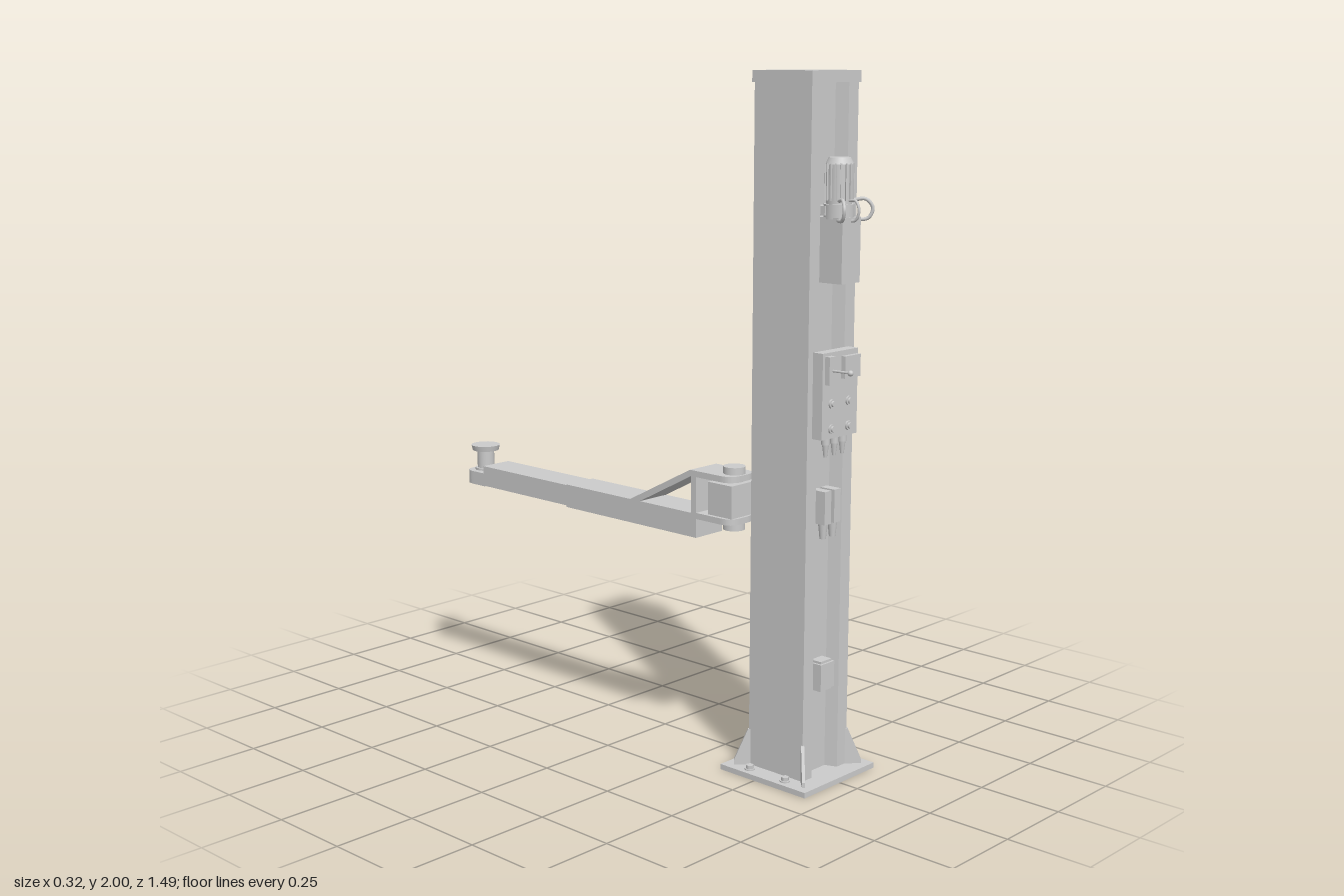
import * as THREE from 'three';

const mat = new THREE.MeshStandardMaterial({ color: 0xcccccc });

export function createModel() {
  const root = new THREE.Group();
  root.name = 'singlePostLift';

  const add = (name, geo, x = 0, y = 0, z = 0) => {
    const m = new THREE.Mesh(geo, mat);
    m.name = name;
    m.position.set(x, y, z);
    root.add(m);
    return m;
  };
  // Box given by its minimum and maximum corners
  const box = (name, x0, x1, y0, y1, z0, z1) =>
    add(name, new THREE.BoxGeometry(x1 - x0, y1 - y0, z1 - z0), (x0 + x1) / 2, (y0 + y1) / 2, (z0 + z1) / 2);
  // Upright cylinder from y0 to y1
  const cyl = (name, rTop, rBottom, x, y0, y1, z, sides = 28) =>
    add(name, new THREE.CylinderGeometry(rTop, rBottom, y1 - y0, sides), x, (y0 + y1) / 2, z);
  const shapeOf = (pts) => new THREE.Shape(pts.map(([a, b]) => new THREE.Vector2(a, b)));
  const extrude = (shape, depth) =>
    new THREE.ExtrudeGeometry(shape, { depth, bevelEnabled: false, curveSegments: 14 });
  // Side profile in (z, y), extruded across x around cx
  const sideProfile = (name, pts, width, cx) =>
    add(name, extrude(shapeOf(pts), width).translate(0, 0, -width / 2).rotateY(-Math.PI / 2), cx);
  // Plan outline in (x, z), extruded between two heights
  const plan = (name, shape, y0, y1) =>
    add(name, extrude(shape, y1 - y0).rotateX(Math.PI / 2), 0, y1);
  const tube = (name, pts, r) =>
    add(name, new THREE.TubeGeometry(
      new THREE.CatmullRomCurve3(pts.map((p) => new THREE.Vector3(...p))), 24, r, 8));

  // Base plate, anchor bolts and diagonal gussets
  box('basePlate', -0.158, 0.158, 0, 0.016, 0.372, 0.687);
  for (const sx of [-1, 1]) {
    for (const z of [0.46, 0.592]) {
      cyl('anchorWasher', 0.015, 0.015, sx * 0.13, 0.016, 0.02, z, 16);
      cyl('anchorBolt', 0.012, 0.012, sx * 0.13, 0.02, 0.03, z, 6);
    }
    for (const sz of [-1, 1]) {
      const geo = extrude(shapeOf([[-0.01, 0], [0.046, 0], [0.046, 0.015], [0.006, 0.108], [-0.01, 0.108]]), 0.009);
      geo.translate(0, 0, -0.0045);
      const g = add('baseGusset', geo, sx * 0.098, 0.015, 0.53 + sz * 0.098);
      g.rotation.y = Math.atan2(-sz, sx);
    }
  }

  // Column: folded channel, open at the back with a sunken web in front
  const half = [
    [0.058, 0.43], [0.1, 0.43], [0.1, 0.63], [0.058, 0.63], [0.044, 0.595],
  ];
  const inner = [
    [0.036, 0.587], [0.064, 0.622], [0.092, 0.622], [0.092, 0.438], [0.058, 0.438],
  ];
  const flip = (pts) => pts.map(([x, z]) => [-x, z]).reverse();
  plan('column', shapeOf([...half, ...flip(half), ...flip(inner).slice(0, 5), ...inner]), 0.012, 1.97);
  box('topCap', -0.105, 0.105, 1.968, 2, 0.425, 0.635);

  // Sliding carriage inside the column with its crossbar
  box('carriageBlock', -0.056, 0.056, 1.1, 1.26, 0.45, 0.58);
  box('carriageBack', -0.056, 0.056, 0.72, 1.1, 0.5, 0.58);
  for (const sx of [-1, 1])
    sideProfile('carriageRib', [[0.52, 0.74], [0.41, 0.74], [0.415, 0.86], [0.426, 0.94], [0.452, 1.11], [0.52, 1.11]], 0.012, sx * 0.04);
  box('carriageNeck', -0.055, 0.055, 0.755, 0.85, 0.4, 0.52);
  box('crossbar', -0.163, 0.162, 0.755, 0.85, 0.323, 0.412);

  // Swing arm: pivot lugs, truss plate and telescopic beam
  const armX = -0.104;
  const tongue = (z0, z1, w, dir) => {
    // strip from z0 to z1 with rounded corners at z1
    const r = 0.042, e = z1 - dir * r;
    const s = new THREE.Shape();
    s.moveTo(armX - w, z0);
    s.lineTo(armX - w, e);
    s.quadraticCurveTo(armX - w, z1, armX - w + r, z1);
    s.lineTo(armX + w - r, z1);
    s.quadraticCurveTo(armX + w, z1, armX + w, e);
    s.lineTo(armX + w, z0);
    return s;
  };
  plan('upperPivotPlate', tongue(0.25, 0.408, 0.056, 1), 0.855, 0.873);
  plan('lowerPivotPlate', tongue(0.26, 0.408, 0.056, 1), 0.732, 0.75);
  box('armUpright', armX - 0.056, armX + 0.056, 0.74, 0.86, 0.254, 0.274);
  sideProfile('slopedPlate', [[0.26, 0.873], [0.25, 0.873], [0.005, 0.745], [0.045, 0.745], [0.254, 0.855], [0.26, 0.855]], 0.112, armX);
  box('outerBeam', armX - 0.056, armX + 0.056, 0.676, 0.747, -0.265, 0.274);
  box('innerBeam', armX - 0.053, armX + 0.053, 0.68, 0.744, -0.655, -0.265);
  plan('beamTip', tongue(-0.65, -0.748, 0.053, -1), 0.678, 0.72);
  cyl('pivotPin', 0.026, 0.026, armX, 0.73, 0.875, 0.37);
  cyl('pivotCap', 0.032, 0.032, armX, 0.872, 0.894, 0.37);
  cyl('pivotNut', 0.032, 0.032, armX, 0.71, 0.735, 0.37);

  // Lifting pad on the arm tip
  cyl('padStem', 0.027, 0.027, armX, 0.715, 0.788, -0.703);
  cyl('padCollar', 0.034, 0.034, armX, 0.718, 0.727, -0.703);
  cyl('liftingPad', 0.046, 0.042, armX, 0.784, 0.801, -0.703);

  // Power unit: tank, pump head and finned motor
  box('oilTank', -0.04, 0.04, 1.432, 1.61, 0.59, 0.692);
  cyl('pumpHead', 0.042, 0.042, 0, 1.605, 1.645, 0.648);
  cyl('motorBody', 0.035, 0.035, 0, 1.64, 1.755, 0.648);
  cyl('motorTop', 0.03, 0.039, 0, 1.752, 1.77, 0.648);
  for (let i = 0; i < 16; i++) {
    const a = (i / 16) * Math.PI * 2;
    const fin = box('motorFin', -0.002, 0.002, 1.655, 1.755, -0.004, 0.004);
    fin.position.x = Math.sin(a) * 0.036;
    fin.position.z = 0.648 + Math.cos(a) * 0.036;
    fin.rotation.y = a;
  }
  box('motorBracket', -0.045, 0.045, 1.615, 1.64, 0.59, 0.635);
  for (const s of [-1, 1])
    tube('oilHose', [[s * 0.03, 1.655, 0.672], [s * 0.05, 1.658, 0.7], [s * 0.062, 1.635, 0.715], [s * 0.056, 1.607, 0.705], [s * 0.034, 1.602, 0.67]], 0.005);
  tube('frontHose', [[0, 1.655, 0.68], [0, 1.655, 0.705], [0, 1.63, 0.716], [0, 1.604, 0.706], [0, 1.6, 0.685]], 0.004);

  // Control panel with display, buttons, lever and cable glands
  box('controlBox', -0.079, 0.075, 1.005, 1.245, 0.63, 0.664);
  box('controlBoxMount', -0.04, 0.04, 1.03, 1.22, 0.59, 0.632);
  box('display', 0.002, 0.07, 1.168, 1.23, 0.66, 0.678);
  box('leverHousing', -0.069, -0.042, 1.158, 1.236, 0.66, 0.68);
  tube('lever', [[-0.054, 1.197, 0.67], [-0.053, 1.197, 0.7], [-0.052, 1.197, 0.738]], 0.0035);
  add('leverKnob', new THREE.SphereGeometry(0.008, 14, 10), -0.052, 1.197, 0.738);
  for (const x of [-0.038, 0.036])
    for (const y of [1.032, 1.102]) {
      cyl('buttonRing', 0.013, 0.013, x, y - 0.003, y + 0.003, 0.666, 20).rotation.x = Math.PI / 2;
      cyl('button', 0.008, 0.009, x, y - 0.005, y + 0.005, 0.669, 20).rotation.x = Math.PI / 2;
    }
  for (const x of [-0.038, 0, 0.036]) {
    cyl('cableGland', 0.012, 0.012, x, 0.985, 1.007, 0.645, 12);
    cyl('cableEnd', 0.01, 0.005, x, 0.95, 0.987, 0.645, 12);
  }

  // Pair of valve cylinders and the lower limit switch in the web
  for (const x of [-0.022, 0.02]) {
    box('valveBody', x - 0.014, x + 0.014, 0.755, 0.85, 0.59, 0.645);
    cyl('valveTip', 0.014, 0.009, x, 0.712, 0.757, 0.628, 16);
  }
  box('limitSwitch', -0.03, 0.03, 0.27, 0.345, 0.59, 0.636);
  box('limitSwitchTop', -0.024, 0.024, 0.345, 0.352, 0.592, 0.63);
  box('limitSwitchFoot', -0.024, 0.024, 0.263, 0.27, 0.592, 0.63);

  return root;
}
